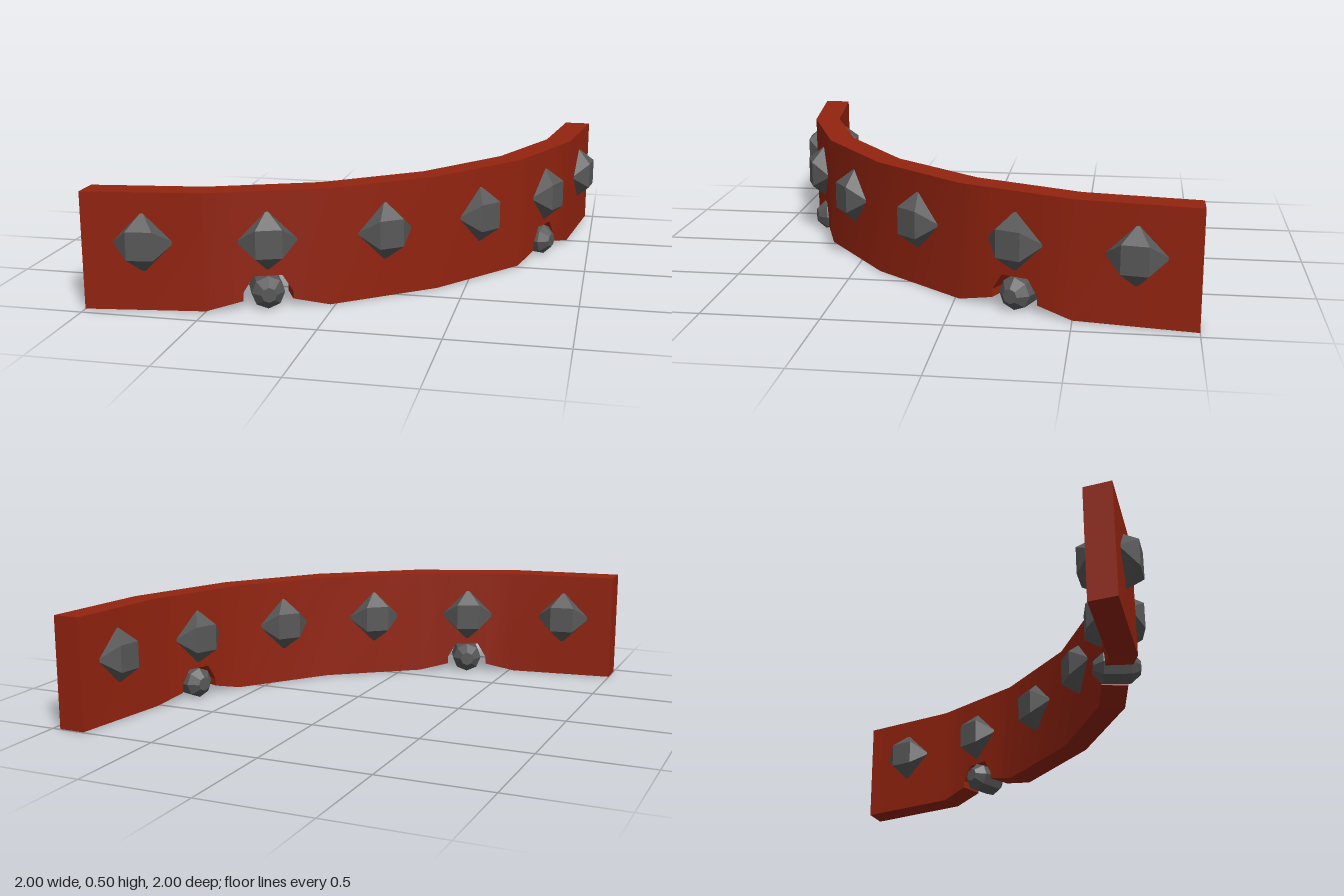
import * as THREE from 'three';
import { mergeGeometries } from 'three/addons/utils/BufferGeometryUtils.js';
import { ConvexGeometry } from 'three/addons/geometries/ConvexGeometry.js';

const V = (x, y, z) => new THREE.Vector3(x, y, z);

// Wall corners in plan (x, z), outer and inner faces
const OUTER = [[-1, 0.96], [-0.5, 0.89], [-0.02, 0.695], [0.383, 0.383], [0.695, -0.02], [0.89, -0.5], [0.96, -1]];
const INNER = [[-1, 0.84], [-0.525, 0.775], [-0.082, 0.595], [0.303, 0.303], [0.595, -0.082], [0.775, -0.525], [0.84, -1]];
const HEIGHT = 0.5;
const ARCHED = [1, 4];
// Underside of an arched section: fraction along the section, height
const ARCH = [[0, 0], [0.3, 0.035], [0.3, 0.07], [0.385, 0.14], [0.615, 0.14], [0.7, 0.07], [0.7, 0.035]];

// Strip of quads between two rows of points
function strip(a, b, smooth) {
  const pos = [], idx = [], n = a.length;
  [...a, ...b].forEach(p => pos.push(p.x, p.y, p.z));
  for (let i = 0; i < n - 1; i++) idx.push(i, i + 1, n + i + 1, i, n + i + 1, n + i);
  let g = new THREE.BufferGeometry();
  g.setAttribute('position', new THREE.Float32BufferAttribute(pos, 3));
  g.setIndex(idx);
  if (smooth) g.computeVertexNormals();
  g = g.toNonIndexed();
  if (!smooth) g.computeVertexNormals();
  return g;
}

function wallGeometry() {
  const ob = [], ot = [], ib = [], it = [];
  const station = (s, f, y) => {
    [[OUTER, ob, ot], [INNER, ib, it]].forEach(([path, low, high]) => {
      const p = path[s], q = path[s + 1];
      const x = p[0] + (q[0] - p[0]) * f, z = p[1] + (q[1] - p[1]) * f;
      low.push(V(x, y, z));
      high.push(V(x, HEIGHT, z));
    });
  };
  for (let s = 0; s < 6; s++) {
    const profile = ARCHED.includes(s) ? ARCH : [[0, 0]];
    profile.forEach(([f, y]) => station(s, f, y));
  }
  station(5, 1, 0);
  const e = ob.length - 1;
  return mergeGeometries([
    strip(ob, ot, true), strip(it, ib, true),
    strip(ot, it, false), strip(ib, ob, false),
    strip([ib[0], ob[0]], [it[0], ot[0]], false),
    strip([ob[e], ib[e]], [ot[e], it[e]], false),
  ]);
}

// Faceted stud: diamond rim with a smaller square face on both sides
function studGeometry() {
  const pts = [];
  for (const s of [-1, 1]) {
    for (const k of [-1, 1]) {
      pts.push(V(0.13 * k, 0, 0.05 * s), V(0, 0.13 * k, 0.05 * s));
      pts.push(V(0.055 * k, 0.06, 0.125 * s), V(0.055 * k, -0.06, 0.125 * s));
    }
  }
  return new ConvexGeometry(pts);
}

// Eight-sided roller with bevelled ends, axis along z
function rollerGeometry() {
  const profile = [[0, -0.1], [0.032, -0.1], [0.07, -0.06], [0.07, 0.06], [0.032, 0.1], [0, 0.1]];
  const g = new THREE.LatheGeometry(profile.map(p => new THREE.Vector2(...p)), 8);
  return g.rotateX(Math.PI / 2);
}

export function createModel() {
  const red = new THREE.MeshStandardMaterial({ color: 0x92230f });
  red.name = 'brick red';
  const grey = new THREE.MeshStandardMaterial({ color: 0x585858, flatShading: true });
  grey.name = 'iron grey';

  const model = new THREE.Group();
  model.name = 'curvedWall';
  const wall = new THREE.Mesh(wallGeometry(), red);
  wall.name = 'wall';
  model.add(wall);

  const stud = studGeometry(), roller = rollerGeometry();
  // Place a part at the middle of a section, facing outward
  const place = (geometry, name, s, y) => {
    const mid = k => (OUTER[s][k] + OUTER[s + 1][k] + INNER[s][k] + INNER[s + 1][k]) / 4;
    const dx = OUTER[s + 1][0] - OUTER[s][0], dz = OUTER[s + 1][1] - OUTER[s][1];
    const mesh = new THREE.Mesh(geometry, grey);
    mesh.name = name;
    mesh.position.set(mid(0), y, mid(1));
    mesh.rotation.y = Math.atan2(-dz, dx);
    model.add(mesh);
  };
  for (let s = 0; s < 6; s++) place(stud, 'stud', s, 0.29);
  ARCHED.forEach(s => place(roller, 'roller', s, 0.068));
  return model;
}
